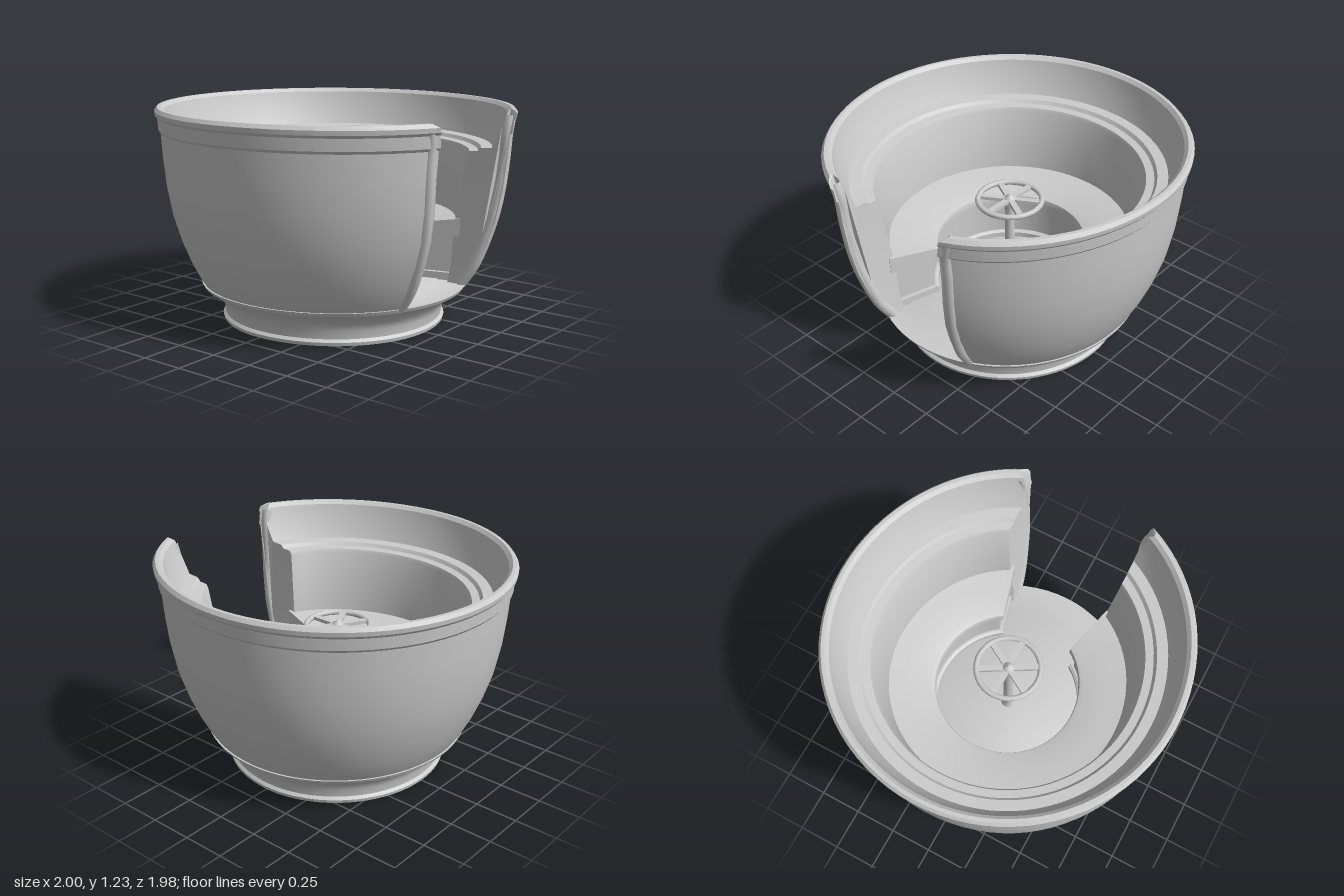
import * as THREE from 'three';
import { toCreasedNormals } from 'three/addons/utils/BufferGeometryUtils.js';

const grey = new THREE.MeshStandardMaterial({ color: 0xcccccc });
grey.name = 'light grey';

// Half angle of the doorway in the wall: widens upwards, with rounded top corners
function doorGap(r, y) {
  const rise = THREE.MathUtils.clamp((y - 0.22) / 0.7, 0, 1);
  const corner = THREE.MathUtils.clamp((y - 1.06) / 0.18, 0, 1);
  const halfWidth = 0.285 + 0.075 * rise + 0.06 * (1 - Math.sqrt(1 - corner ** 2));
  return Math.asin(halfWidth / r);
}

// Half angle of the slanting bench ends, set back from the doorway by an inset
const benchGap = (inset) => (r) => Math.asin((0.122 + inset) / r) + 0.286;
const noGap = () => 0;

// Slightly oval plan: longer at the front, shorter at the lower back
function place(r, y, angle) {
  let z = r * Math.cos(angle);
  z *= z > 0 ? 1.04 + 0.023 * y : Math.min(1, 0.97 + 0.027 * y);
  return new THREE.Vector3(r * Math.sin(angle), y, z);
}

// Sweeps a closed counter-clockwise (radius, height) profile around the axis
function sweep(profile, gapAt, segments = 72) {
  const out = [];
  const open = gapAt !== noGap;
  const at = (i, j) => {
    const [r, y] = profile[i % profile.length];
    const gap = gapAt(r, y);
    return place(r, y, gap + (j / segments) * (2 * Math.PI - 2 * gap));
  };
  const tri = (...points) => points.forEach((p) => out.push(p.x, p.y, p.z));
  const sides = open ? profile.length : profile.length - 1;
  for (let j = 0; j < segments; j++) {
    for (let i = 0; i < sides; i++) {
      const a = at(i, j), b = at(i + 1, j), c = at(i, j + 1), d = at(i + 1, j + 1);
      if (profile[i][0] > 0) tri(a, c, b);
      if (profile[(i + 1) % profile.length][0] > 0) tri(b, c, d);
    }
  }
  // Ends beside the doorway
  if (open) {
    const contour = profile.map(([r, y]) => new THREE.Vector2(r, y));
    for (const [a, b, c] of THREE.ShapeUtils.triangulateShape(contour, [])) {
      tri(at(a, 0), at(b, 0), at(c, 0));
      tri(at(a, segments), at(c, segments), at(b, segments));
    }
  }
  const geometry = new THREE.BufferGeometry();
  geometry.setAttribute('position', new THREE.Float32BufferAttribute(out, 3));
  return toCreasedNormals(geometry, 0.5);
}

export function createModel() {
  const model = new THREE.Group();
  model.name = 'cupRide';
  const add = (name, geometry, parent = model) => {
    const mesh = new THREE.Mesh(geometry, grey);
    mesh.name = name;
    parent.add(mesh);
    return mesh;
  };

  // Foot ring, hollow underneath, with the floor on top
  add('baseAndFloor', sweep([
    [0, 0.09], [0.53, 0.09], [0.54, 0.02], [0.56, 0.01], [0.64, 0.01], [0.645, 0.03], [0.63, 0.045],
    [0.635, 0.09], [0.65, 0.13], [0.7, 0.175], [0.755, 0.21], [0.765, 0.23], [0.62, 0.23],
    [0.6, 0.24], [0, 0.24],
  ], noGap));

  // Cup wall: curved outside, rolled rim, two inner ledges and the backrest
  add('cupWall', sweep([
    [0.66, 0.215], [0.745, 0.215], [0.78, 0.27], [0.825, 0.36], [0.873, 0.48], [0.915, 0.62],
    [0.945, 0.79], [0.96, 0.95], [0.968, 1.1], [0.98, 1.115], [0.985, 1.18], [0.997, 1.195],
    [1.0, 1.22], [0.985, 1.24], [0.965, 1.24], [0.945, 1.22], [0.92, 1.12], [0.875, 1.02],
    [0.815, 1.015], [0.8, 0.995], [0.755, 0.99], [0.745, 0.97], [0.69, 0.58], [0.68, 0.35],
  ], doorGap));

  // Bench: toe board, recessed panel and overhanging seat, all carried round the ends
  add('benchToeBoard', sweep([
    [0.43, 0.235], [0.72, 0.235], [0.72, 0.28], [0.445, 0.28], [0.43, 0.27],
  ], benchGap(0)));
  add('benchPanel', sweep([
    [0.455, 0.275], [0.72, 0.275], [0.72, 0.505], [0.455, 0.505],
  ], benchGap(0.025)));
  add('benchSeat', sweep([
    [0.42, 0.51], [0.455, 0.5], [0.72, 0.5], [0.72, 0.605], [0.6, 0.585], [0.45, 0.56],
    [0.425, 0.55], [0.42, 0.535],
  ], benchGap(-0.005)));

  // Rounded trim down both sides of the doorway
  const edge = [
    [0.75, 0.23], [0.825, 0.36], [0.91, 0.62], [0.94, 0.79], [0.957, 0.98],
    [0.963, 1.1], [0.97, 1.16], [0.975, 1.2],
  ];
  for (const side of [1, -1]) {
    const path = new THREE.CatmullRomCurve3(edge.map(([r, y]) => {
      const p = place(r - 0.013, y, doorGap(r, y) + 0.034);
      p.x *= side;
      return p;
    }));
    add(side > 0 ? 'leftDoorTrim' : 'rightDoorTrim', new THREE.TubeGeometry(path, 32, 0.033, 10));
  }

  // Centre post and turning wheel
  const wheel = new THREE.Group();
  wheel.name = 'turningWheel';
  wheel.position.set(-0.005, 0, 0.01);
  model.add(wheel);
  add('post', new THREE.LatheGeometry([
    [0.045, 0.235], [0.04, 0.26], [0.03, 0.28], [0.027, 0.72], [0.035, 0.77], [0.04, 0.8],
    [0.03, 0.82], [0.012, 0.83], [0, 0.845],
  ].map(([r, y]) => new THREE.Vector2(r, y)), 16), wheel);
  const rim = add('wheelRim', new THREE.TorusGeometry(0.184, 0.016, 8, 36), wheel);
  rim.rotation.x = Math.PI / 2;
  rim.position.y = 0.805;
  for (let i = 0; i < 6; i++) {
    const angle = (i * Math.PI) / 3;
    const spoke = add('wheelSpoke', new THREE.BoxGeometry(0.034, 0.02, 0.165), wheel);
    spoke.position.set(Math.sin(angle) * 0.1, 0.805, Math.cos(angle) * 0.1);
    spoke.rotation.y = angle;
  }
  return model;
}
